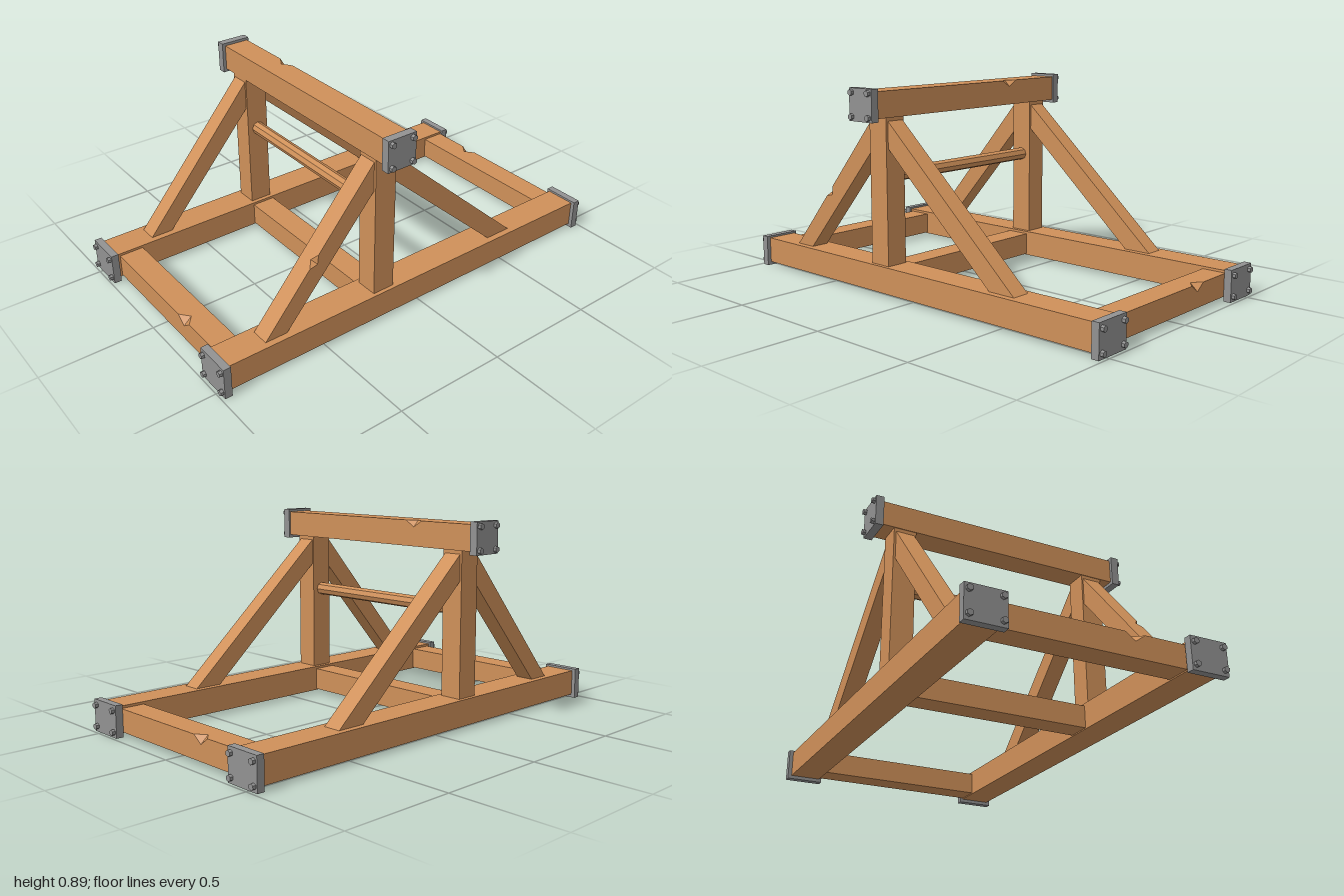
import * as THREE from 'three';

const wood = new THREE.MeshStandardMaterial({ color: 0xcf9059, flatShading: true });
wood.name = 'wood';
const iron = new THREE.MeshStandardMaterial({ color: 0x929292, flatShading: true });
iron.name = 'iron';

const MID_Z = 0.188; // depth of the upright frame

// Four-sided beam between two end sections, with an optional chip knocked out of edge 0.
// Sections run counter-clockwise seen from end b. chip = { t, w, d } as fractions.
function beamGeometry(a, b, chip) {
  const A = a.map((p) => new THREE.Vector3(...p));
  const B = b.map((p) => new THREE.Vector3(...p));
  const tris = [];
  const quad = (p, q, r, s) => tris.push(p, q, r, p, r, s);
  quad(A[3], A[2], A[1], A[0]);
  quad(B[0], B[1], B[2], B[3]);
  for (let i = chip ? 1 : 0; i < (chip ? 3 : 4); i++) {
    const j = (i + 1) % 4;
    quad(A[i], A[j], B[j], B[i]);
  }
  if (chip) {
    const at = (i, t) => A[i].clone().lerp(B[i], t);
    const L = at(0, chip.t - chip.w);
    const R = at(0, chip.t + chip.w);
    const Q = at(0, chip.t).lerp(at(1, chip.t), chip.d);
    const P = at(0, chip.t).lerp(at(3, chip.t), chip.d);
    tris.push(A[0], A[1], L, L, A[1], Q, Q, A[1], B[1], Q, B[1], R, R, B[1], B[0]);
    tris.push(A[3], A[0], L, A[3], L, P, A[3], P, B[3], P, R, B[3], R, B[0], B[3]);
    tris.push(L, Q, P, Q, R, P);
  }
  const g = new THREE.BufferGeometry().setFromPoints(tris);
  g.computeVertexNormals();
  return g;
}

// Beam along x; side = 1 puts the chip on the front top edge, -1 on the back one.
function crossBeam(half, y0, y1, z, depth, side, chip) {
  const section = (x) => [[y1, 1], [y0, 1], [y0, -1], [y1, -1]]
    .map(([y, s]) => [x, y, z + (side * s * depth) / 2]);
  return beamGeometry(section(-side * half), section(side * half), chip);
}

// Sloping brace: flat cut at the foot, upright cut against the post.
function braceGeometry(x0, x1, foot, head, chip) {
  const loop = (outer, inner) => {
    const s = [[x1, ...outer], [x1, ...inner], [x0, ...inner], [x0, ...outer]];
    return foot.outer > foot.inner ? s : [s[0], s[3], s[2], s[1]];
  };
  return beamGeometry(
    loop([0.128, foot.outer], [0.128, foot.inner]),
    loop([head.top, head.z], [head.bottom, head.z]),
    chip
  );
}

// Square iron end plate facing +z, with four hexagonal bolts.
function endPlate(w, h, thick, boltX, boltY) {
  const group = new THREE.Group();
  group.name = 'endPlate';
  const plate = new THREE.Mesh(new THREE.BoxGeometry(w, h, thick), iron);
  plate.name = 'plate';
  group.add(plate);
  const boltGeo = new THREE.CylinderGeometry(0.013, 0.013, 0.015, 6).rotateX(Math.PI / 2);
  for (const sx of [-1, 1]) for (const sy of [-1, 1]) {
    const bolt = new THREE.Mesh(boltGeo, iron);
    bolt.name = 'bolt';
    bolt.position.set(sx * boltX, sy * boltY, thick / 2 + 0.0065);
    group.add(bolt);
  }
  return group;
}

export function createModel() {
  const model = new THREE.Group();
  model.name = 'timberFrame';
  const add = (name, geometry, x = 0, y = 0, z = 0) => {
    const mesh = new THREE.Mesh(geometry, wood);
    mesh.name = name;
    mesh.position.set(x, y, z);
    model.add(mesh);
  };

  // Side rails, posts, braces and plates on both sides
  for (const s of [-1, 1]) {
    add('sideRail', new THREE.BoxGeometry(0.138, 0.116, 1.92), s * 0.46, 0.073, 0);
    add('post', new THREE.BoxGeometry(0.1, 0.65, 0.102), s * 0.461, 0.45, MID_Z);

    const [x0, x1] = s > 0 ? [0.418, 0.5] : [-0.502, -0.42];
    add('frontBrace', braceGeometry(x0, x1, { outer: 0.77, inner: 0.668 },
      { z: MID_Z + 0.05, top: 0.75, bottom: 0.62 }, s > 0 ? { t: 0.45, w: 0.04, d: 0.28 } : null));
    add('rearBrace', braceGeometry(x0, x1, { outer: -0.558, inner: -0.43 },
      { z: MID_Z - 0.05, top: 0.75, bottom: 0.635 }));

    for (const f of [-1, 1]) {
      const plate = endPlate(0.167, 0.14, 0.033, 0.065, 0.046);
      plate.position.set(s * 0.463, 0.07, f * 0.97);
      if (f < 0) plate.rotation.y = Math.PI;
      model.add(plate);
    }
    const beamPlate = endPlate(0.138, 0.138, 0.036, 0.051, 0.05);
    beamPlate.position.set(s * 0.585, 0.82, MID_Z);
    beamPlate.rotation.y = (s * Math.PI) / 2;
    model.add(beamPlate);
  }

  // Beams across the base
  const chip = { t: 0.71, w: 0.055, d: 0.32 };
  add('frontCrossBeam', crossBeam(0.4, 0.02, 0.12, 0.886, 0.11, 1, chip));
  add('rearCrossBeam', crossBeam(0.4, 0.02, 0.12, -0.898, 0.108, -1, chip));
  add('middleCrossBeam', crossBeam(0.4, 0.02, 0.12, MID_Z, 0.108, 1));

  // Top beam and the octagonal rod beneath it
  add('topBeam', crossBeam(0.575, 0.765, 0.877, MID_Z - 0.004, 0.116, -1, { t: 0.717, w: 0.04, d: 0.25 }));
  add('rod', new THREE.CylinderGeometry(0.029, 0.029, 0.84, 8).rotateZ(Math.PI / 2), 0, 0.51, MID_Z);

  return model;
}
